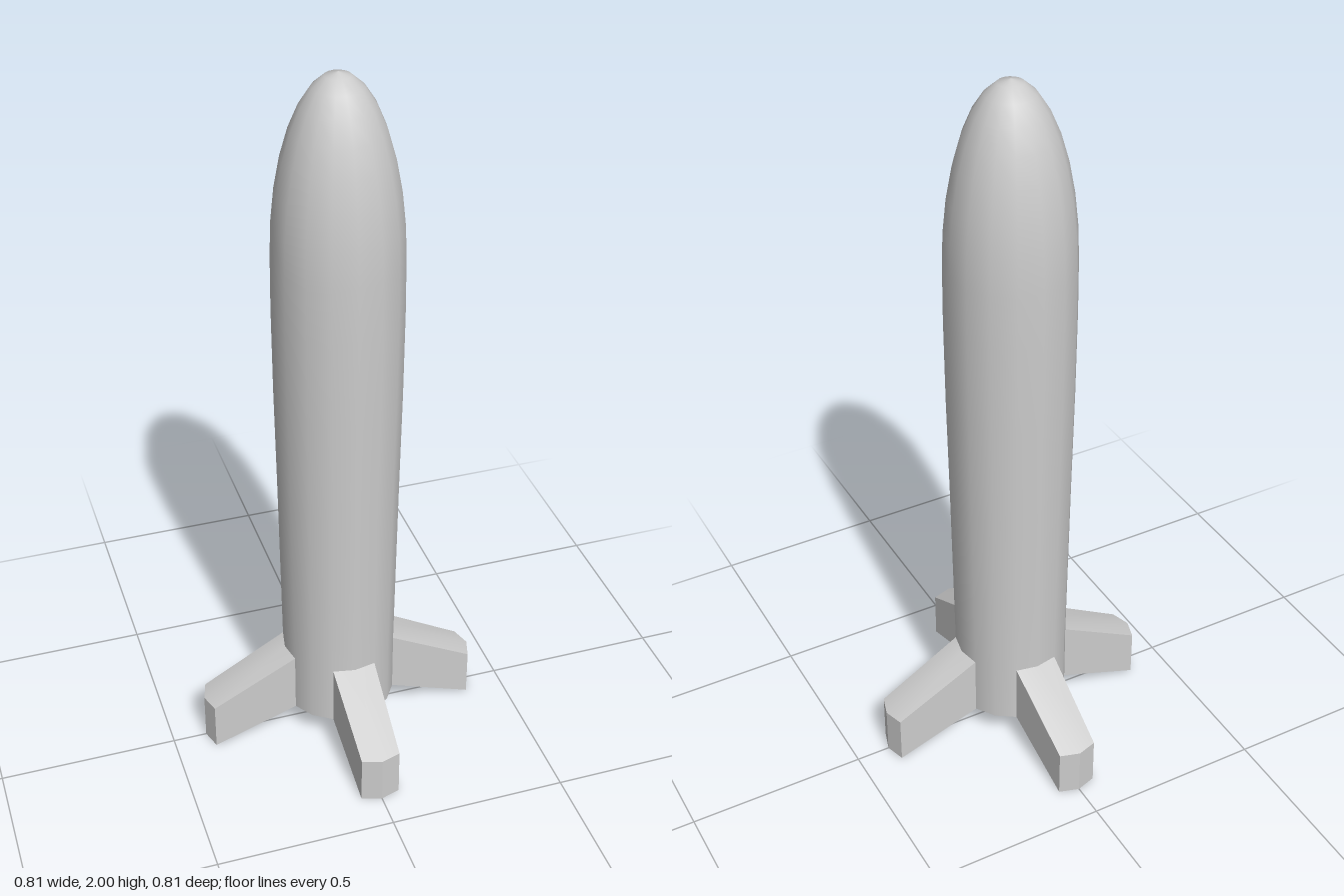
import * as THREE from 'three';
import { toCreasedNormals } from 'three/addons/utils/BufferGeometryUtils.js';

const SIDES = 16, BASE_Y = 0.09, FIN_Y = 0.27, ROOT_R = 0.16;

// Fin drawn out of two neighbouring hull facets, pointing along +z
function finGeometry() {
  const a = (Math.PI * 2) / SIDES;
  const rs = ROOT_R * Math.sin(a), rc = ROOT_R * Math.cos(a);
  const root = [[-rs, rc], [0, ROOT_R], [rs, rc]];
  const tip = [[-0.055, 0.387], [0, 0.404], [0.055, 0.387]];
  const pos = [];
  const row = (pts, y) => pts.forEach(([x, z]) => pos.push(x, y, z));
  row(root, FIN_Y); // 0-2
  row(tip, 0.14);   // 3-5
  row(tip, 0);      // 6-8
  row(root, BASE_Y); // 9-11
  const index = [];
  const quad = (p, q, r, s) => index.push(p, q, r, p, r, s);
  // top slope, end face and underside
  for (let r = 0; r < 9; r += 3) {
    for (let i = 0; i < 2; i++) quad(r + i, r + 3 + i, r + 4 + i, r + 1 + i);
  }
  // flanks
  quad(0, 9, 6, 3);
  quad(2, 5, 8, 11);
  const g = new THREE.BufferGeometry();
  g.setAttribute('position', new THREE.Float32BufferAttribute(pos, 3));
  g.setIndex(index);
  return toCreasedNormals(g, 0.35);
}

export function createModel() {
  const group = new THREE.Group();
  group.name = 'rocket';
  const mat = new THREE.MeshStandardMaterial({ color: 0xcccccc });
  const add = (name, geometry) => {
    const mesh = new THREE.Mesh(geometry, mat);
    mesh.name = name;
    group.add(mesh);
    return mesh;
  };

  // Hull with a slight swell, closed by a rounded nose
  const profile = [
    [ROOT_R, BASE_Y], [ROOT_R, FIN_Y], [0.163, 0.5], [0.167, 0.8],
    [0.172, 1.1], [0.174, 1.35], [0.173, 1.5],
  ].map(([r, y]) => new THREE.Vector2(r, y));
  for (let i = 1; i <= 8; i++) {
    const t = (i / 8) * Math.PI / 2;
    profile.push(new THREE.Vector2(i === 8 ? 0 : 0.173 * Math.cos(t), 1.5 + 0.5 * Math.sin(t)));
  }
  add('hull', new THREE.LatheGeometry(profile, SIDES));

  // Flat underside
  const base = new THREE.CircleGeometry(ROOT_R, SIDES);
  base.rotateX(Math.PI / 2);
  add('base', base).position.y = BASE_Y;

  // Four fins
  const fin = finGeometry();
  ['frontFin', 'leftFin', 'backFin', 'rightFin'].forEach((name, i) => {
    add(name, fin).rotation.y = (i * Math.PI) / 2;
  });
  return group;
}
